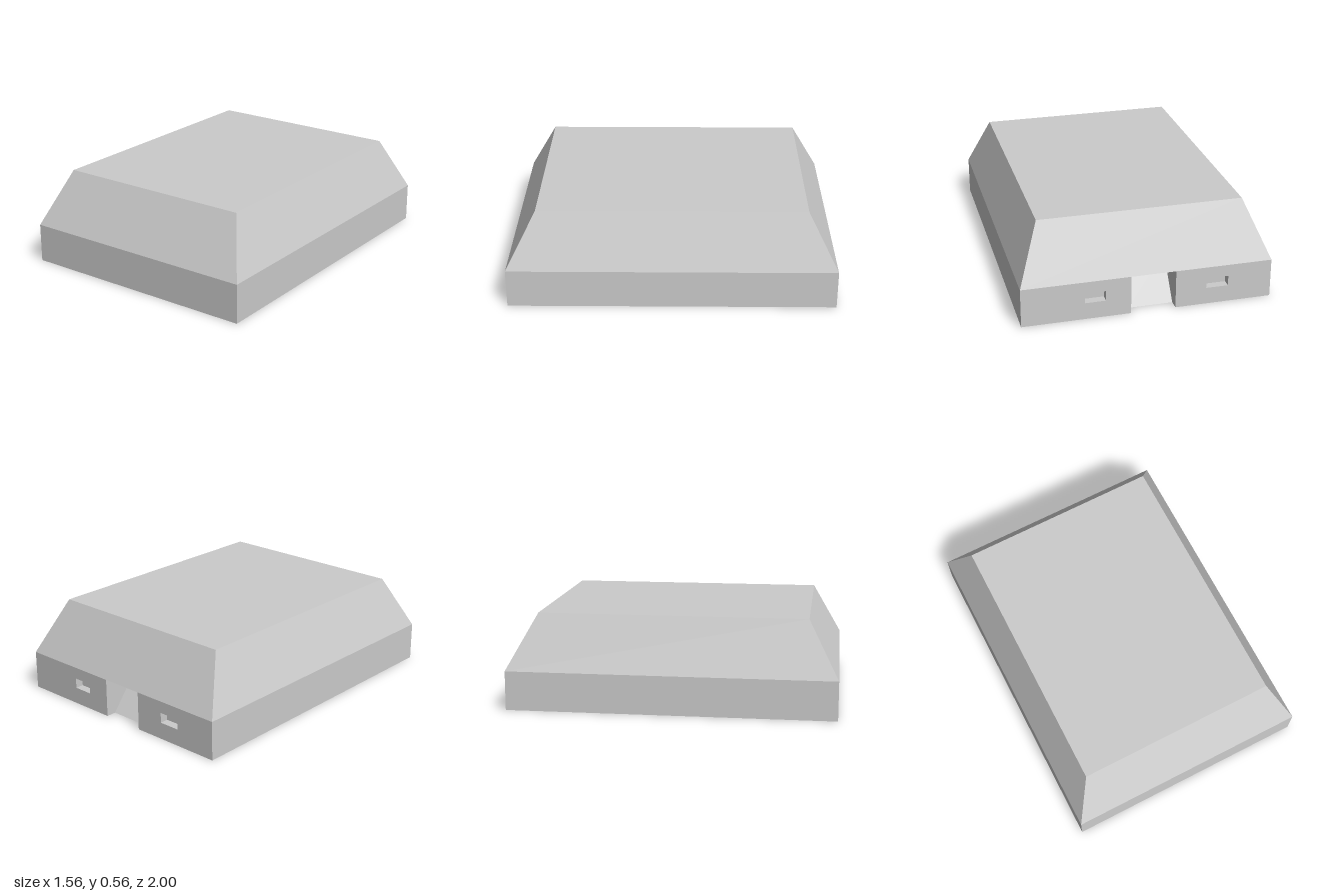
import * as THREE from 'three';

const HW = 0.7265, HL = 0.9565;       // half width and length of the base
const TW = 0.596, TL = 0.7815;        // half width and length of the top
const BELT = 0.23, TOP = 0.555;
const BACK = -HL;
const NOTCH = { x0: -0.16, x1: 0.10, low: BACK + 0.06, high: BACK + 0.24 };
const SLOTS = [[-0.47, -0.34], [0.245, 0.365]];
const SLOT_Y = [0.1, 0.16], SLOT_DEPTH = 0.05;

const material = new THREE.MeshStandardMaterial({
  color: 0xcccccc, flatShading: true, side: THREE.DoubleSide,
});

function mesh(name, geometry) {
  const m = new THREE.Mesh(geometry, material);
  m.name = name;
  return m;
}

// Each quad is four corners, counter-clockwise from its visible side
function quads(list) {
  const pos = [];
  for (const [a, b, c, d] of list) pos.push(...a, ...b, ...c, ...a, ...c, ...d);
  const g = new THREE.BufferGeometry();
  g.setAttribute('position', new THREE.Float32BufferAttribute(pos, 3));
  g.computeVertexNormals();
  return g;
}

const ring = (w, l, y) => [[-w, y, l], [w, y, l], [w, y, -l], [-w, y, -l]];
const band = (a, b) => a.map((p, i) => [p, a[(i + 1) % 4], b[(i + 1) % 4], b[i]]);
const outline = (pts) => pts.map(([x, y]) => new THREE.Vector2(x, y));

export function createModel() {
  const group = new THREE.Group();
  group.name = 'bevelledCase';

  // Lower walls (the back one is a separate panel), sloped sides and flat top
  const foot = ring(HW, HL, 0), belt = ring(HW, HL, BELT), top = ring(TW, TL, TOP);
  const walls = band(foot, belt).filter((_, i) => i !== 2);
  group.add(mesh('lowerWalls', quads(walls)));
  group.add(mesh('slopedCover', quads([...band(belt, top), top])));

  // Back panel, cut by the notch and two slots; x is mirrored as it faces back
  const { x0, x1, low, high } = NOTCH;
  const panel = new THREE.Shape(outline([
    [-HW, 0], [-x1, 0], [-x1, BELT], [-x0, BELT], [-x0, 0], [HW, 0], [HW, BELT], [-HW, BELT],
  ]));
  for (const [a, b] of SLOTS) {
    const [y0, y1] = SLOT_Y;
    panel.holes.push(new THREE.Path(outline([[-b, y0], [-b, y1], [-a, y1], [-a, y0]])));
  }
  const backPanel = mesh('backPanel', new THREE.ShapeGeometry(panel));
  backPanel.rotation.y = Math.PI;
  backPanel.position.z = BACK;
  group.add(backPanel);

  // Slot pockets
  for (const [a, b] of SLOTS) {
    const [y0, y1] = SLOT_Y;
    const rect = (z) => [[a, y0, z], [a, y1, z], [b, y1, z], [b, y0, z]];
    const rear = rect(BACK + SLOT_DEPTH);
    group.add(mesh('slotPocket', quads([...band(rect(BACK), rear), rear])));
  }

  // Notch: ceiling, ramp and two side walls
  const side = (x) => [[x, 0, low], [x, 0, BACK], [x, BELT, BACK], [x, BELT, high]];
  group.add(mesh('notchLining', quads([
    [[x0, BELT, BACK], [x1, BELT, BACK], [x1, BELT, high], [x0, BELT, high]],
    [[x1, 0, low], [x0, 0, low], [x0, BELT, high], [x1, BELT, high]],
    side(x0),
    side(x1).reverse(),
  ])));

  // Bottom plate with the notch cut from its back edge; shape y becomes z
  const plate = new THREE.Shape(outline([
    [-HW, BACK], [x0, BACK], [x0, low], [x1, low], [x1, BACK], [HW, BACK], [HW, HL], [-HW, HL],
  ]));
  const bottomPlate = mesh('bottomPlate', new THREE.ShapeGeometry(plate));
  bottomPlate.rotation.x = Math.PI / 2;
  group.add(bottomPlate);

  // The case stands slightly turned
  group.rotation.y = -0.0593;
  return group;
}
